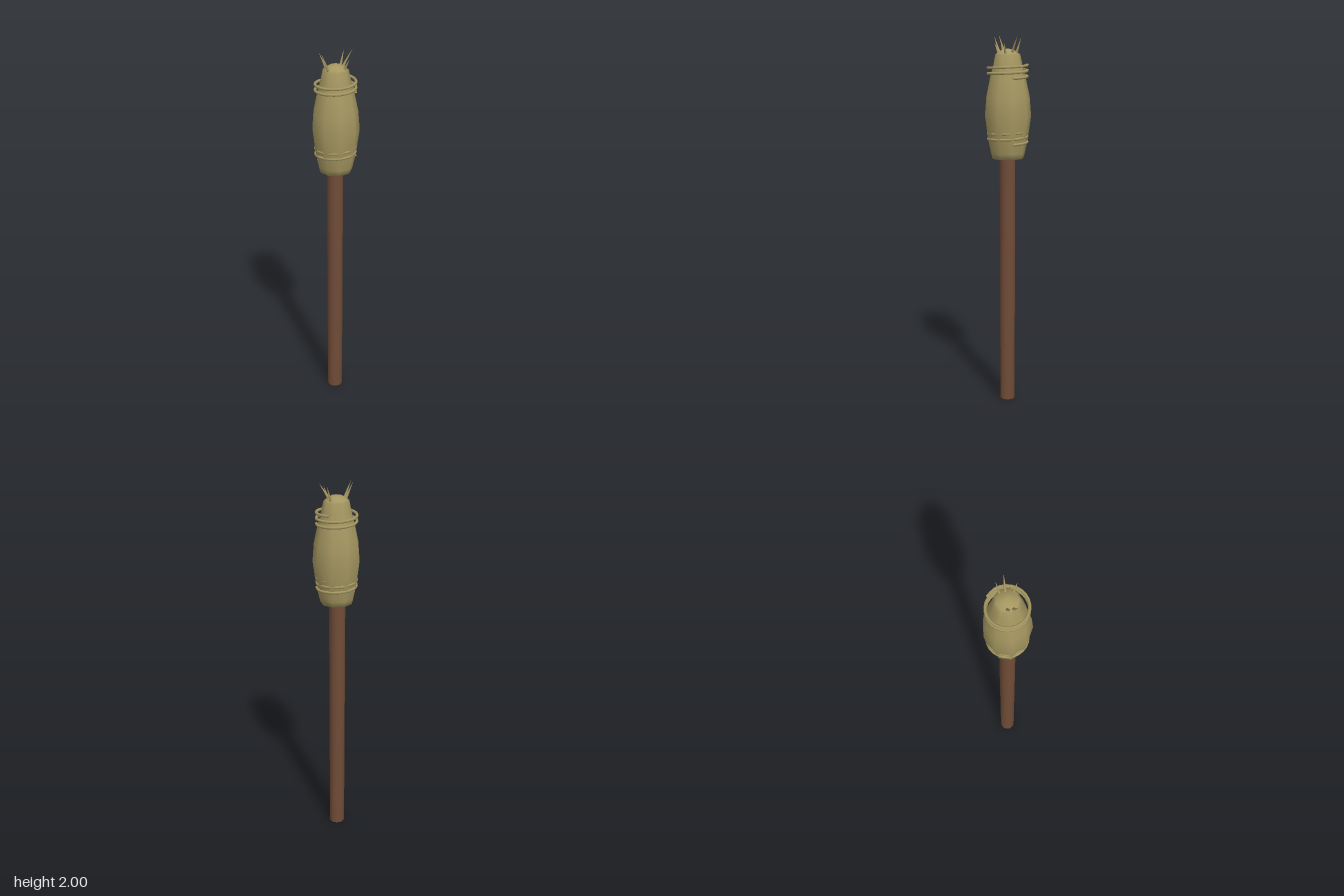
import * as THREE from 'three';
import { mergeVertices } from 'three/addons/utils/BufferGeometryUtils.js';

// Weld every corner so shading flows softly across the edges
function weld(geometry) {
  geometry.deleteAttribute('normal');
  geometry.deleteAttribute('uv');
  const welded = mergeVertices(geometry, 1e-4);
  welded.computeVertexNormals();
  return welded;
}

export function createModel() {
  const model = new THREE.Group();
  const wood = new THREE.MeshStandardMaterial({ color: 0x704c37 });
  wood.name = 'brown wood';
  const straw = new THREE.MeshStandardMaterial({ color: 0xa59761 });
  straw.name = 'dry straw';

  const add = (name, geometry, material, parent = model) => {
    const mesh = new THREE.Mesh(geometry, material);
    mesh.name = name;
    parent.add(mesh);
    return mesh;
  };

  // Wooden shaft
  const shaft = add('shaft', weld(new THREE.CylinderGeometry(0.043, 0.041, 1.37, 12)), wood);
  shaft.position.set(-0.003, 0.685, 0);

  // Nine-sided bundle with a rounded crown
  const profile = [
    [0, 1.355], [0.085, 1.355], [0.093, 1.385], [0.109, 1.46], [0.125, 1.58],
    [0.117, 1.68], [0.096, 1.78], [0.077, 1.85], [0.067, 1.9],
    [0.056, 1.909], [0.032, 1.925], [0, 1.932],
  ].map(([r, y]) => new THREE.Vector2(r, y));
  add('bundle', weld(new THREE.LatheGeometry(profile, 9, Math.PI / 2)), straw);

  // Twine wound around the neck and the lower bundle
  const turns = 2.2, steps = 27;
  const twinePoints = [];
  for (let i = 0; i <= steps; i++) {
    const t = i / steps;
    const a = t * turns * Math.PI * 2;
    twinePoints.push(new THREE.Vector3(0.104 * Math.cos(a), 1.782 + 0.065 * t, -0.104 * Math.sin(a)));
  }
  const twine = new THREE.TubeGeometry(new THREE.CatmullRomCurve3(twinePoints), 54, 0.0075, 6);
  straw.side = THREE.DoubleSide;
  add('neckTwine', twine, straw);
  add('lowerTwine', twine, straw).position.y = -0.345;

  // Loose straw ends sprouting from the crown: base x, z then tip x, y, z
  const ends = new THREE.Group();
  ends.name = 'strawEnds';
  model.add(ends);
  const up = new THREE.Vector3(0, 1, 0);
  [
    [0.026, -0.038, 0.046, 1.99, -0.061],
    [0.03, -0.012, 0.088, 2.0, -0.03],
    [0.036, -0.013, 0.066, 1.97, -0.021],
    [0.04, 0.021, 0.068, 1.965, 0.037],
    [-0.042, 0.003, -0.084, 2.0, 0.026],
    [-0.044, 0.012, -0.068, 1.96, 0.018],
    [-0.036, 0.032, -0.071, 1.995, 0.054],
    [-0.036, 0.036, -0.055, 1.96, 0.056],
  ].forEach(([bx, bz, tx, ty, tz]) => {
    const base = new THREE.Vector3(bx, 1.9, bz);
    const tip = new THREE.Vector3(tx, ty, tz);
    const span = tip.clone().sub(base);
    const end = add('strawEnd', new THREE.ConeGeometry(0.0085, span.length(), 6), straw, ends);
    end.position.copy(base).add(tip).multiplyScalar(0.5);
    end.quaternion.setFromUnitVectors(up, span.normalize());
  });

  return model;
}
